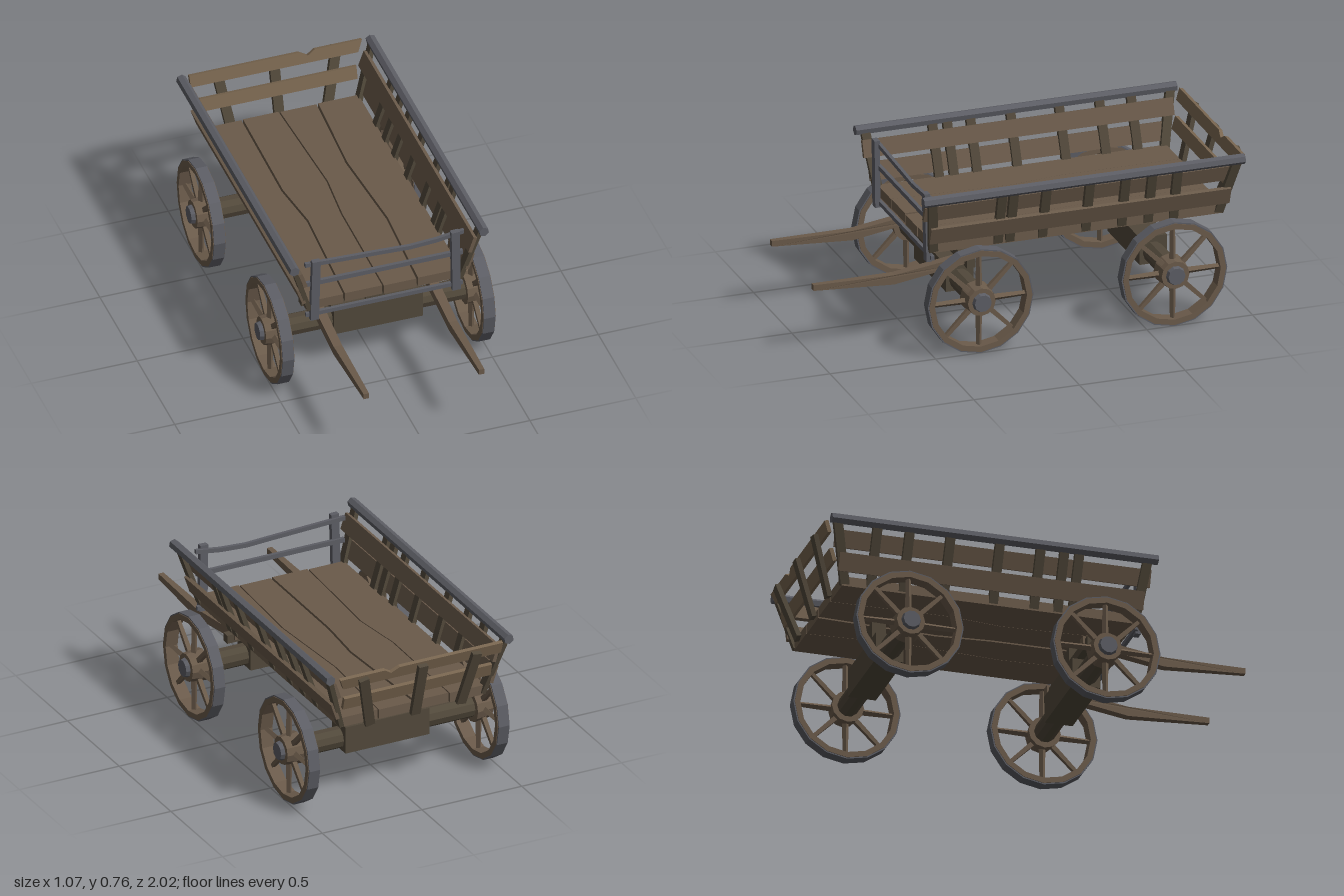
import * as THREE from 'three';

const mat = (color, side = THREE.FrontSide) =>
  new THREE.MeshStandardMaterial({ color, flatShading: true, roughness: 0.9, side });
const wood = mat(0x6a5a4a), paleWood = mat(0x78654f), darkWood = mat(0x51483a), iron = mat(0x5c5d64);
const V = (x, y, z) => new THREE.Vector3(x, y, z);

function add(parent, name, geometry, material, x = 0, y = 0, z = 0) {
  const mesh = new THREE.Mesh(geometry, material);
  mesh.name = name;
  mesh.position.set(x, y, z);
  parent.add(mesh);
  return mesh;
}
const box = (parent, name, material, w, h, d, x, y, z) =>
  add(parent, name, new THREE.BoxGeometry(w, h, d), material, x, y, z);

// Box running from a to b, w wide in x and d deep in z
function beam(parent, name, material, a, b, w, d) {
  const dir = b.clone().sub(a);
  const mesh = add(parent, name, new THREE.BoxGeometry(w, dir.length(), d), material);
  mesh.position.copy(a).add(b).multiplyScalar(0.5);
  mesh.quaternion.setFromUnitVectors(V(0, 1, 0), dir.normalize());
  return mesh;
}

// Flat outline in x/y, extruded and centred in depth
function slab(points, depth) {
  const shape = new THREE.Shape(points.map(p => new THREE.Vector2(...p)));
  return new THREE.ExtrudeGeometry(shape, { depth, bevelEnabled: false }).translate(0, 0, -depth / 2);
}

// Wheel around the local y axis, outer face towards +y
function makeWheel() {
  const wheel = new THREE.Group();
  wheel.name = 'wheel';
  const ring = (r0, r1, h) => new THREE.LatheGeometry(
    [[r0, -h], [r1, -h], [r1, h], [r0, h], [r0, -h]].map(p => new THREE.Vector2(...p)), 16);
  add(wheel, 'rim', ring(0.218, 0.244, 0.03), wood);
  add(wheel, 'ironTyre', ring(0.24, 0.25, 0.027), iron);
  for (let i = 0; i < 8; i++) {
    const a = i * Math.PI / 4;
    const spoke = add(wheel, 'spoke', new THREE.CylinderGeometry(0.012, 0.016, 0.18, 4, 1), wood,
      Math.sin(a) * 0.14, 0, Math.cos(a) * 0.14);
    spoke.rotation.set(Math.PI / 2, 0, -a, 'ZXY');
    spoke.quaternion.setFromUnitVectors(V(0, 1, 0), V(Math.sin(a), 0, Math.cos(a)));
  }
  add(wheel, 'hub', new THREE.CylinderGeometry(0.066, 0.075, 0.082, 12), wood);
  add(wheel, 'hubCap', new THREE.CylinderGeometry(0.04, 0.05, 0.035, 10), iron, 0, 0.0425, 0);
  return wheel;
}

function addUndercarriage(cart) {
  for (const z of [0.287, -0.63]) {
    const axle = add(cart, 'axle', new THREE.CylinderGeometry(0.05, 0.05, 0.9, 10), darkWood, 0, 0.255, z);
    axle.rotation.z = Math.PI / 2;
    box(cart, 'axleBlock', darkWood, 0.42, 0.13, 0.13, 0.015, 0.265, z);
    box(cart, 'axlePost', darkWood, 0.095, 0.14, 0.065, 0.0125, 0.395, z);
    for (const s of [-1, 1]) {
      const wheel = makeWheel();
      wheel.position.set(s * 0.475, 0.255, z);
      wheel.rotation.z = -s * Math.PI / 2;
      cart.add(wheel);
    }
  }
  // Pulling shafts, tapering towards their tips
  box(cart, 'shaftCrossbar', darkWood, 0.655, 0.04, 0.04, 0, 0.365, 0.27);
  for (const s of [-1, 1]) {
    const geo = slab([[0.24, 0.36], [0.34, 0.345], [0.62, 0.3], [1, 0.32], [1, 0.347],
      [0.62, 0.345], [0.34, 0.385], [0.24, 0.398]], 0.046);
    const p = geo.attributes.position;
    for (let i = 0; i < p.count; i++) {
      if (p.getX(i) > 0.5) p.setZ(i, p.getZ(i) * (p.getX(i) > 0.9 ? 0.55 : 0.85));
    }
    add(cart, 'shaft', geo.rotateY(-Math.PI / 2), wood, s * 0.272, 0, 0);
  }
}

// Four floor planks with uneven shared edges
function addFloor(cart) {
  const edges = [
    [[-0.37, 0.462], [-0.37, -0.1], [-0.37, -0.4], [-0.37, -0.905]],
    [[-0.187, 0.462], [-0.16, -0.1], [-0.192, -0.35], [-0.185, -0.905]],
    [[-0.003, 0.462], [0, -0.1], [0.02, -0.35], [-0.01, -0.905]],
    [[0.158, 0.462], [0.18, 0], [0.147, -0.45], [0.17, -0.905]],
    [[0.368, 0.462], [0.368, 0], [0.368, -0.45], [0.368, -0.905]]];
  for (let i = 0; i < 4; i++) {
    const left = edges[i].map(([x, z]) => [x + 0.004, -z]);
    const right = edges[i + 1].map(([x, z]) => [x - 0.004, -z]).reverse();
    // Outline runs counter-clockwise seen from above
    const geo = slab([...right, ...left], 0.046).rotateX(-Math.PI / 2);
    add(cart, 'floorPlank', geo, wood, 0, 0.478 + (i % 2) * 0.003, 0);
  }
}

// Outward-leaning sides: lower board outside the posts, upper board inside
function addSides(cart) {
  const postZ = {
    '1': [0.46, 0.155, 0.1, -0.055, -0.26, -0.43, -0.555, -0.675, -0.89],
    '-1': [0.46, 0.17, 0.1, -0.01, -0.2, -0.43, -0.62, -0.77, -0.89] };
  for (const s of [-1, 1]) {
    const side = new THREE.Group();
    side.name = s > 0 ? 'leftSide' : 'rightSide';
    cart.add(side);
    for (const z of postZ[s]) {
      const lean = z > 0.4 ? 0.035 : z < -0.8 ? -0.06 : 0.008;
      beam(side, 'sidePost', darkWood, V(s * 0.355, 0.465, z), V(s * 0.443, 0.74, z + lean), 0.022, 0.042);
    }
    const upper = box(side, 'upperBoard', wood, 0.018, 0.08, 1.47, s * 0.4, 0.667, -0.215);
    const lower = box(side, 'lowerBoard', wood, 0.018, 0.085, 1.42, s * 0.398, 0.556, -0.22);
    upper.rotation.z = lower.rotation.z = -s * 0.33;
    const rail = add(side, 'topRail', new THREE.CylinderGeometry(0.024, 0.024, 1.52, 6), iron, s * 0.447, 0.742, -0.22);
    rail.rotation.set(Math.PI / 2, 0.2 * s, 0);
  }
}

// Tailgate leaning backwards, with a notch in its top board
function addTailgate(cart) {
  const gate = new THREE.Group();
  gate.name = 'tailgate';
  gate.position.set(0, 0.46, -0.908);
  gate.rotation.x = -0.28;
  cart.add(gate);
  add(gate, 'topBoard', slab([[-0.405, 0.24], [0.385, 0.24], [0.408, 0.297], [0.185, 0.297],
    [0.15, 0.274], [0.11, 0.297], [-0.408, 0.297]], 0.018), paleWood);
  box(gate, 'middleBoard', paleWood, 0.74, 0.062, 0.018, 0, 0.146, 0);
  for (const [x0, x1] of [[-0.23, -0.272], [-0.002, -0.002], [0.225, 0.295]]) {
    beam(gate, 'tailgatePost', darkWood, V(x0, 0, -0.02), V(x1, 0.285, -0.02), 0.046, 0.022);
  }
}

// Front rack: two uprights and three thin rails, the top one sagging
function addFrontRack(cart) {
  for (const s of [-1, 1]) {
    beam(cart, 'frontUpright', iron, V(s * 0.335, 0.413, 0.478), V(s * 0.328, 0.737, 0.484), 0.039, 0.025);
  }
  box(cart, 'bottomRail', iron, 0.74, 0.02, 0.016, 0, 0.435, 0.466);
  box(cart, 'middleRail', iron, 0.74, 0.022, 0.016, 0, 0.605, 0.468);
  const top = [[-0.375, 0.713], [-0.2, 0.706], [0, 0.698], [0.12, 0.692], [0.25, 0.7], [0.375, 0.718]];
  const outline = [...top.map(([x, y]) => [x, y - 0.01]), ...top.map(([x, y]) => [x, y + 0.01]).reverse()];
  add(cart, 'saggingRail', slab(outline, 0.016), iron, 0, 0, 0.469);
}

export function createModel() {
  const cart = new THREE.Group();
  cart.name = 'cart';
  addUndercarriage(cart);
  addFloor(cart);
  addSides(cart);
  addTailgate(cart);
  addFrontRack(cart);
  return cart;
}
